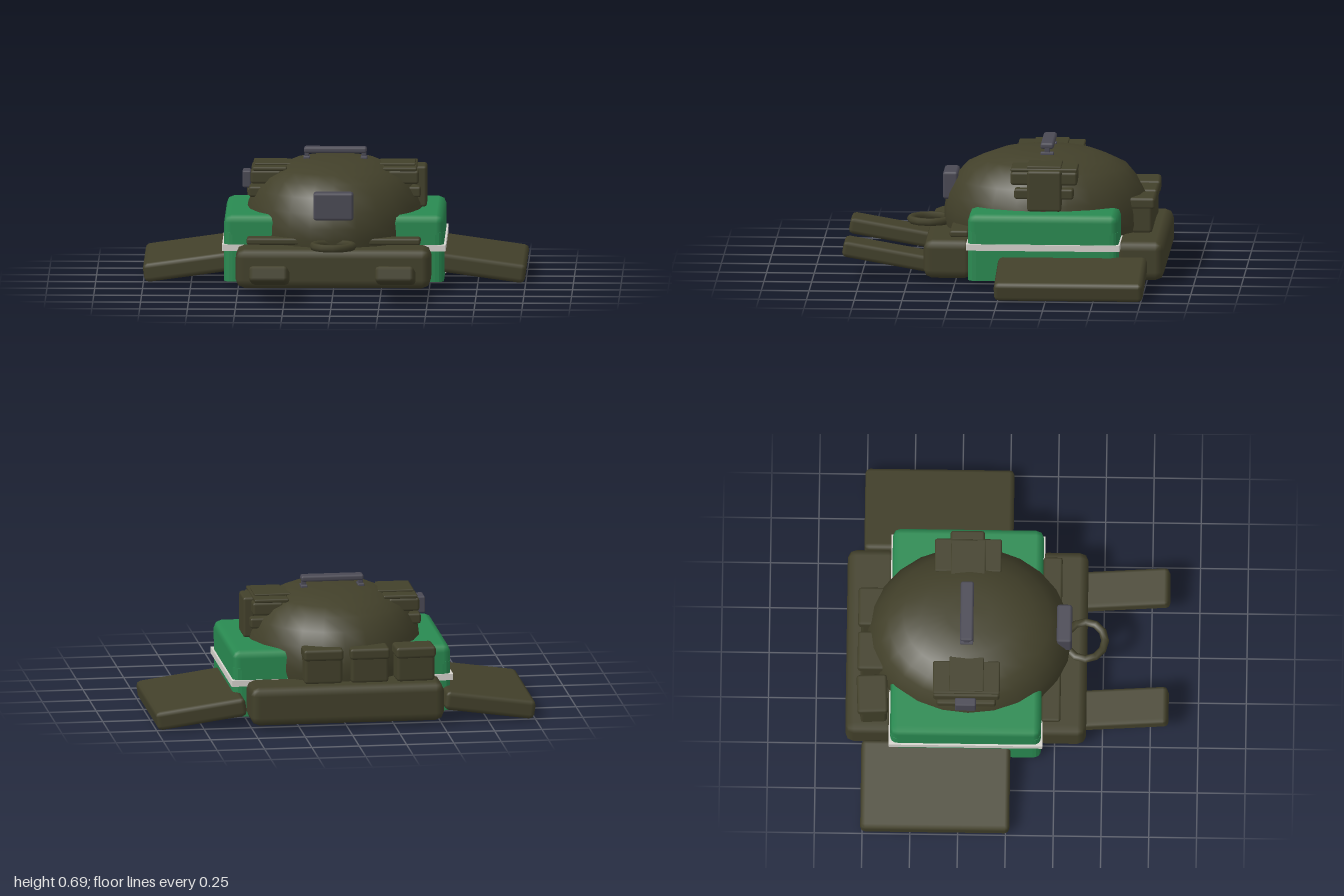
import * as THREE from 'three';
import { RoundedBoxGeometry } from 'three/addons/geometries/RoundedBoxGeometry.js';

const material = (name, color, side = THREE.FrontSide) => {
  const m = new THREE.MeshStandardMaterial({ color, side });
  m.name = name;
  return m;
};

export function createModel() {
  const model = new THREE.Group();
  model.name = 'fieldKit';
  const olive = material('olive', 0x42402a, THREE.DoubleSide);
  const green = material('green', 0x298a51);
  const white = material('offWhite', 0xd6d3cd);
  const grey = material('gunGrey', 0x4a4954);
  const red = material('red', 0x9c2f28);
  const yellow = material('yellow', 0xc79a3a);
  const copper = material('copper', 0x8a4a22);
  const tan = material('tan', 0x7d6a55);

  const add = (name, geometry, mat, x = 0, y = 0, z = 0, rx = 0, ry = 0, rz = 0) => {
    const mesh = new THREE.Mesh(geometry, mat);
    mesh.name = name;
    mesh.position.set(x, y, z);
    mesh.rotation.set(rx, ry, rz);
    model.add(mesh);
    return mesh;
  };
  // Bevelled block
  const block = (name, mat, size, pos, radius = 0.012, rot = [0, 0, 0]) =>
    add(name, new RoundedBoxGeometry(...size, 1, radius), mat, ...pos, ...rot);
  const rod = (name, mat, points, radius) =>
    add(name, new THREE.TubeGeometry(
      new THREE.CatmullRomCurve3(points.map(p => new THREE.Vector3(...p))), 40, radius, 6), mat);

  // Rounded rectangle outline for the case walls
  const outline = (target, w, d, r) => {
    const x = w / 2, y = d / 2;
    target.moveTo(-x + r, -y);
    target.lineTo(x - r, -y); target.quadraticCurveTo(x, -y, x, -y + r);
    target.lineTo(x, y - r); target.quadraticCurveTo(x, y, x - r, y);
    target.lineTo(-x + r, y); target.quadraticCurveTo(-x, y, -x, y - r);
    target.lineTo(-x, -y + r); target.quadraticCurveTo(-x, -y, -x + r, -y);
    return target;
  };
  const frame = (w, d, r, wall, height) => {
    const shape = outline(new THREE.Shape(), w, d, r);
    shape.holes.push(outline(new THREE.Path(), w - 2 * wall, d - 2 * wall, r));
    return new THREE.ExtrudeGeometry(shape, { depth: height, bevelEnabled: false, curveSegments: 4 })
      .rotateX(-Math.PI / 2);
  };

  // Green case, open underneath, with a pale seam band
  add('caseWalls', frame(1.15, 0.79, 0.045, 0.03, 0.26), green, 0, 0.035, -0.215);
  block('caseLid', green, [1.15, 0.14, 0.79], [0, 0.315, -0.215], 0.04);
  add('caseBand', frame(1.17, 0.805, 0.004, 0.03, 0.033), white, 0, 0.198, -0.215);

  // Dark linings below the helmet and along the front wall
  const lining = add('caseLining', new THREE.CylinderGeometry(1, 1, 0.008, 32), olive, 0, 0.237, -0.215);
  lining.scale.set(0.5, 1, 0.362);
  block('frontLining', olive, [0.86, 0.205, 0.05], [0, 0.132, 0.165], 0.008);

  // Padded vest panels
  block('frontPanel', olive, [1.02, 0.205, 0.26], [0, 0.132, 0.285], 0.045);
  block('backPanel', olive, [1.02, 0.205, 0.26], [0, 0.132, -0.715], 0.045);

  for (const s of [-1, 1]) {
    // Side wings, straps and chest plates
    block('sideWing', olive, [0.478, 0.1, 0.78], [s * 0.763, 0.086, -0.37], 0.025, [0, 0, -s * 0.14]);
    block('frontStrap', olive, [0.205, 0.085, 0.47], [s * 0.33, 0.13, 0.61], 0.022, [-0.175, 0, 0]);
    block('chestPlate', olive, [0.29, 0.035, 0.1], [s * 0.31, 0.26, 0.23], 0.012);
    // Helmet side rails
    block('railUpper', olive, [0.18, 0.02, 0.35], [s * 0.34, 0.598, -0.213], 0.008);
    block('railBlock', olive, [0.16, 0.07, 0.35], [s * 0.36, 0.555, -0.213], 0.014);
    block('railLower', olive, [0.08, 0.055, 0.31], [s * 0.41, 0.475, -0.213], 0.012);
    block('railCrossPlate', olive, [0.19, 0.012, 0.18], [s * 0.325, 0.612, -0.213], 0.005);
  }

  // Ring on the front panel
  add('pullRing', new THREE.TorusGeometry(0.103, 0.021, 6, 12), olive, 0, 0.256, 0.405, Math.PI / 2);

  // Helmet shell
  const profile = [[0.52, 0.2], [0.535, 0.27], [0.533, 0.33], [0.52, 0.41], [0.48, 0.487], [0.425, 0.553],
    [0.345, 0.592], [0.25, 0.628], [0.12, 0.638], [0.001, 0.641]];
  const shell = add('helmetShell',
    new THREE.LatheGeometry(profile.map(p => new THREE.Vector2(...p)), 24), olive, 0, 0, -0.203);
  shell.scale.x = 0.875;

  // Helmet fittings
  block('frontMount', grey, [0.21, 0.145, 0.08], [0, 0.452, 0.295], 0.014);
  block('topHandle', grey, [0.33, 0.032, 0.07], [0, 0.678, -0.215], 0.012);
  for (const x of [-0.15, 0.15]) {
    block('handlePost', grey, [0.025, 0.06, 0.03], [x, 0.645, -0.215], 0.005);
    block('handleFoot', grey, [0.035, 0.018, 0.07], [x, 0.636, -0.215], 0.005);
  }
  block('sideClip', grey, [0.045, 0.088, 0.11], [-0.463, 0.527, -0.217], 0.008);
  block('sidePouch', olive, [0.06, 0.215, 0.18], [0.45, 0.495, -0.217], 0.014);

  // Chin strap looping below the helmet
  rod('chinStrap', olive, [[-0.43, 0.24, -0.15], [-0.36, 0.12, 0], [-0.18, 0.045, 0.075], [0, 0.034, 0.085],
    [0.18, 0.045, 0.075], [0.36, 0.12, 0], [0.43, 0.24, -0.15]], 0.014);

  // Back pouches with flaps
  for (const [x, tilt] of [[-0.365, 0.04], [-0.125, 0], [0.12, 0]]) {
    block('backPouch', olive, [0.2, 0.16, 0.14], [x, 0.31, -0.7], 0.018, [0, tilt, 0]);
    block('pouchFlap', olive, [0.21, 0.06, 0.16], [x, 0.388, -0.705], 0.016, [0, tilt, 0]);
  }

  // Contents inside the case
  block('longBar', grey, [0.98, 0.07, 0.11], [0.04, 0.09, -0.46], 0.012);
  add('bedroll', new THREE.CylinderGeometry(0.095, 0.095, 0.36, 16), tan, -0.02, 0.16, -0.13, 0, 0, Math.PI / 2);
  for (const s of [-1, 1]) {
    block('yellowStick', yellow, [0.045, 0.045, 0.36], [s * 0.25 - 0.02, 0.1, -0.12], 0.01);
    block('redStick', red, [0.05, 0.05, 0.34], [s * 0.36 - 0.02, 0.1, -0.12], 0.01);
    block('greyStick', grey, [0.03, 0.04, 0.34], [s * 0.43 - 0.02, 0.1, -0.12], 0.008);
    rod('copperWire', copper, [[-0.48, 0.06, -0.12 + s * 0.2], [0, 0.075, -0.12 + s * 0.22],
      [0.48, 0.06, -0.12 + s * 0.2]], 0.007);
    rod('redWire', red, [[s * 0.48, 0.06, -0.35], [s * 0.5, 0.07, -0.12], [s * 0.48, 0.06, 0.1]], 0.008);
  }
  // Crumpled gauze lying over the case edge
  block('gauze', white, [0.1, 0.03, 0.13], [0.535, 0.04, -0.27], 0.01);
  block('gauzeFold', white, [0.08, 0.03, 0.09], [0.485, 0.05, -0.22], 0.01, [0.2, 0.5, 0.2]);

  // Small brass eyelets under the front panel
  for (let i = 0; i < 6; i++)
    add('eyelet', new THREE.TorusGeometry(0.016, 0.006, 5, 10), yellow, -0.3 + i * 0.09, 0.029, 0.27, Math.PI / 2);

  return model;
}
